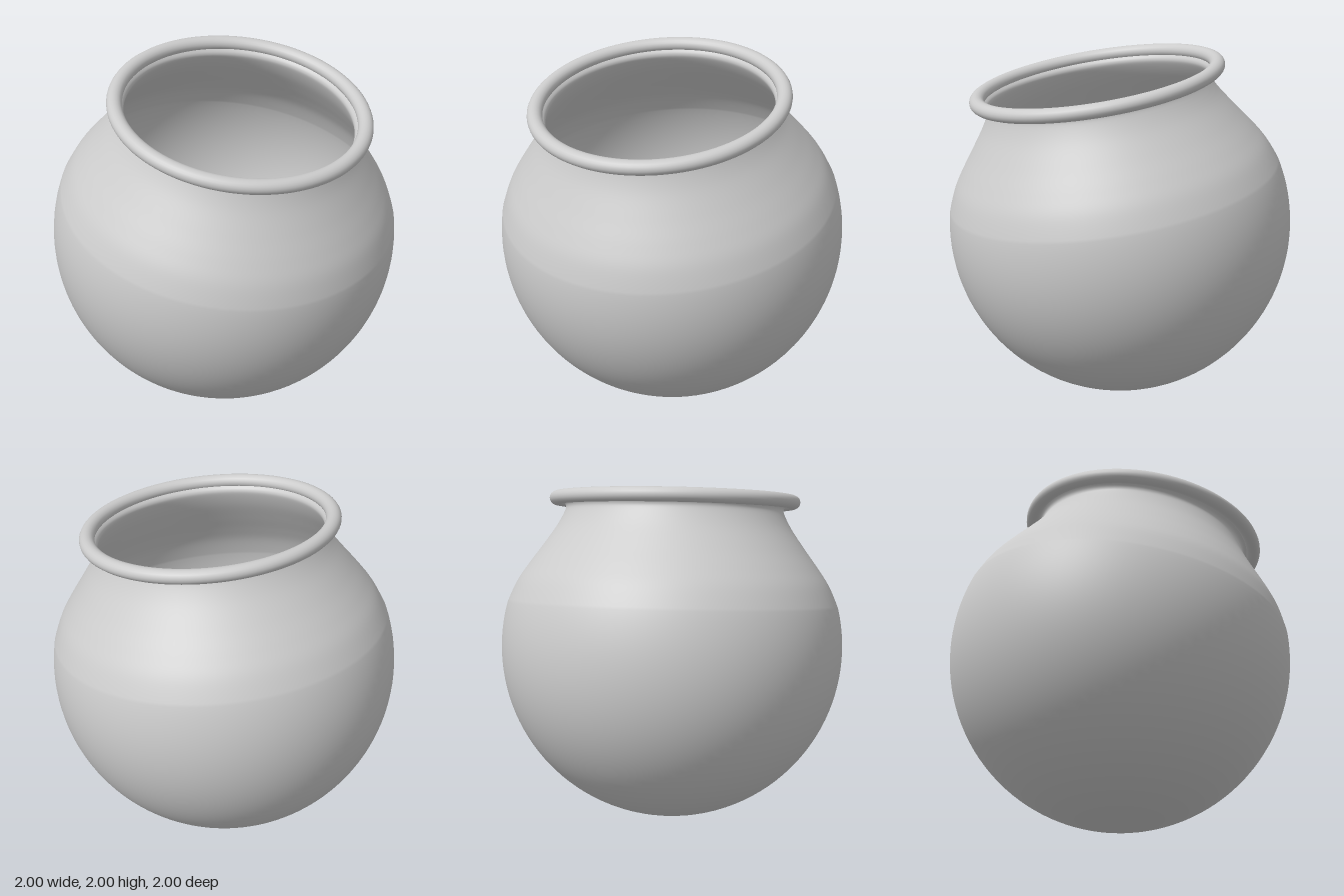
import * as THREE from 'three';

export function createModel() {
  const model = new THREE.Group();
  model.name = 'tiltedBowl';
  const material = new THREE.MeshStandardMaterial({ color: 0xcccccc, side: THREE.DoubleSide });

  // Round body: circular arc from the bottom pole, then a shoulder curving into the neck
  const profile = [];
  const arcSteps = 36, arcEnd = Math.PI / 2 + 0.25;
  for (let i = 0; i <= arcSteps; i++) {
    const a = (i / arcSteps) * arcEnd;
    profile.push(new THREE.Vector2(Math.sin(a), -Math.cos(a)));
  }
  const shoulder = new THREE.SplineCurve([
    profile[arcSteps - 1], profile[arcSteps],
    new THREE.Vector2(0.915, 0.37), new THREE.Vector2(0.85, 0.47),
    new THREE.Vector2(0.77, 0.58), new THREE.Vector2(0.69, 0.695),
    new THREE.Vector2(0.645, 0.78), new THREE.Vector2(0.64, 0.815),
    new THREE.Vector2(0.66, 0.84),
  ]);
  profile.push(...shoulder.getPoints(48).filter((p) => p.y > profile[arcSteps].y + 0.005));
  const body = new THREE.Mesh(new THREE.LatheGeometry(profile, 96), material);
  body.name = 'body';

  // Rolled rim around the mouth
  const rimGeometry = new THREE.TorusGeometry(0.691, 0.043, 20, 96);
  rimGeometry.rotateX(-Math.PI / 2);
  const rim = new THREE.Mesh(rimGeometry, material);
  rim.name = 'rim';
  rim.position.y = 0.856;
  rim.scale.y = 0.93;

  // Whole bowl leans about the centre of its round body
  const bowl = new THREE.Group();
  bowl.name = 'bowl';
  bowl.add(body, rim);
  bowl.position.y = 1;
  const axis = new THREE.Vector3(0.158, 0.987, 0.041).normalize();
  bowl.quaternion.setFromUnitVectors(new THREE.Vector3(0, 1, 0), axis);
  model.add(bowl);
  return model;
}
